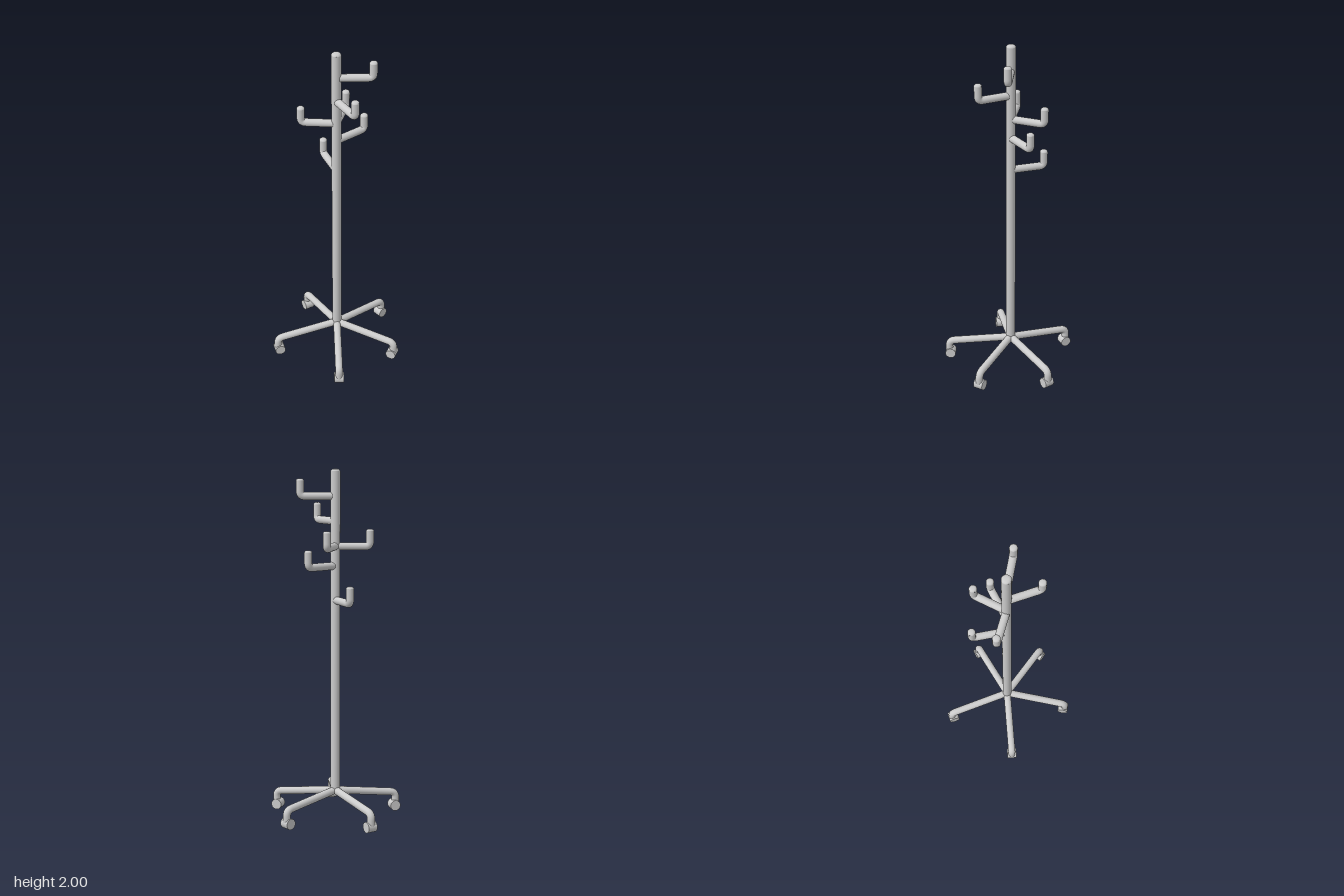
import * as THREE from 'three';

const material = new THREE.MeshStandardMaterial({ color: 0xcccccc });
const POLE_X = -0.03;
const POLE_R = 0.027;
const ROD_R = 0.022;

function addMesh(parent, name, geometry, x = 0, y = 0, z = 0) {
  const mesh = new THREE.Mesh(geometry, material);
  mesh.name = name;
  mesh.position.set(x, y, z);
  parent.add(mesh);
  return mesh;
}

// Rod in the XY plane: straight arm, rounded elbow, straight end
function bentRod(start, corner, end, bend) {
  const [a, c, b] = [start, corner, end].map(([x, y]) => new THREE.Vector3(x, y, 0));
  const p = c.clone().add(a.clone().sub(c).setLength(bend));
  const q = c.clone().add(b.clone().sub(c).setLength(bend));
  const path = new THREE.CurvePath();
  path.add(new THREE.LineCurve3(a, p));
  path.add(new THREE.QuadraticBezierCurve3(p, c, q));
  path.add(new THREE.LineCurve3(q, b));
  return new THREE.TubeGeometry(path, 48, ROD_R, 20, false);
}

// Slightly bevelled closing cap, flat in the middle
function cap(radius, height) {
  const profile = [[radius, 0], [radius * 0.93, height * 0.4], [radius * 0.72, height * 0.8],
    [radius * 0.42, height], [0, height]].map(([x, y]) => new THREE.Vector2(x, y));
  return new THREE.LatheGeometry(profile, 24);
}

// Group turned so that its +x axis points towards (x, z)
function spoke(parent, name, x, z) {
  const group = new THREE.Group();
  group.name = name;
  group.rotation.y = -Math.atan2(z, x);
  parent.add(group);
  return group;
}

export function createModel() {
  const model = new THREE.Group();
  model.name = 'coatStand';
  const stand = new THREE.Group();
  stand.name = 'stand';
  stand.position.x = POLE_X;
  model.add(stand);

  // Central pole
  const bottom = 0.14, top = 1.988;
  addMesh(stand, 'pole', new THREE.CylinderGeometry(POLE_R, POLE_R, top - bottom, 28), 0, (top + bottom) / 2, 0);
  addMesh(stand, 'poleCap', cap(POLE_R, 0.012), 0, top, 0);

  // Coat hooks: end position and height of each arm
  const hooks = [
    [0.15, -0.082, 1.85], [0.128, 0.115, 1.71], [-0.213, 0.064, 1.57],
    [-0.057, -0.195, 1.57], [0.063, -0.173, 1.46], [-0.17, -0.135, 1.265],
  ];
  for (const [x, z, y] of hooks) {
    const dx = x - POLE_X;
    const reach = Math.hypot(dx, z);
    const hook = spoke(stand, 'hook', dx, z);
    addMesh(hook, 'hookArm', bentRod([0, y], [reach, y], [reach, y + 0.086], 0.027));
    addMesh(hook, 'hookTip', cap(ROD_R, 0.011), reach, y + 0.086, 0);
  }

  // Five sloping legs with caster wheels
  for (const degrees of [0, 64.7, 140.6, 216, 295.2]) {
    const a = THREE.MathUtils.degToRad(degrees);
    const leg = spoke(stand, 'leg', Math.cos(a), Math.sin(a));
    addMesh(leg, 'legArm', bentRod([0, 0.153], [0.373, 0.108], [0.373, 0.035], 0.032));
    const wheel = addMesh(leg, 'casterWheel', new THREE.CylinderGeometry(0.031, 0.031, 0.057, 24), 0.365, 0.031, 0);
    wheel.rotation.x = Math.PI / 2;
  }
  return model;
}
